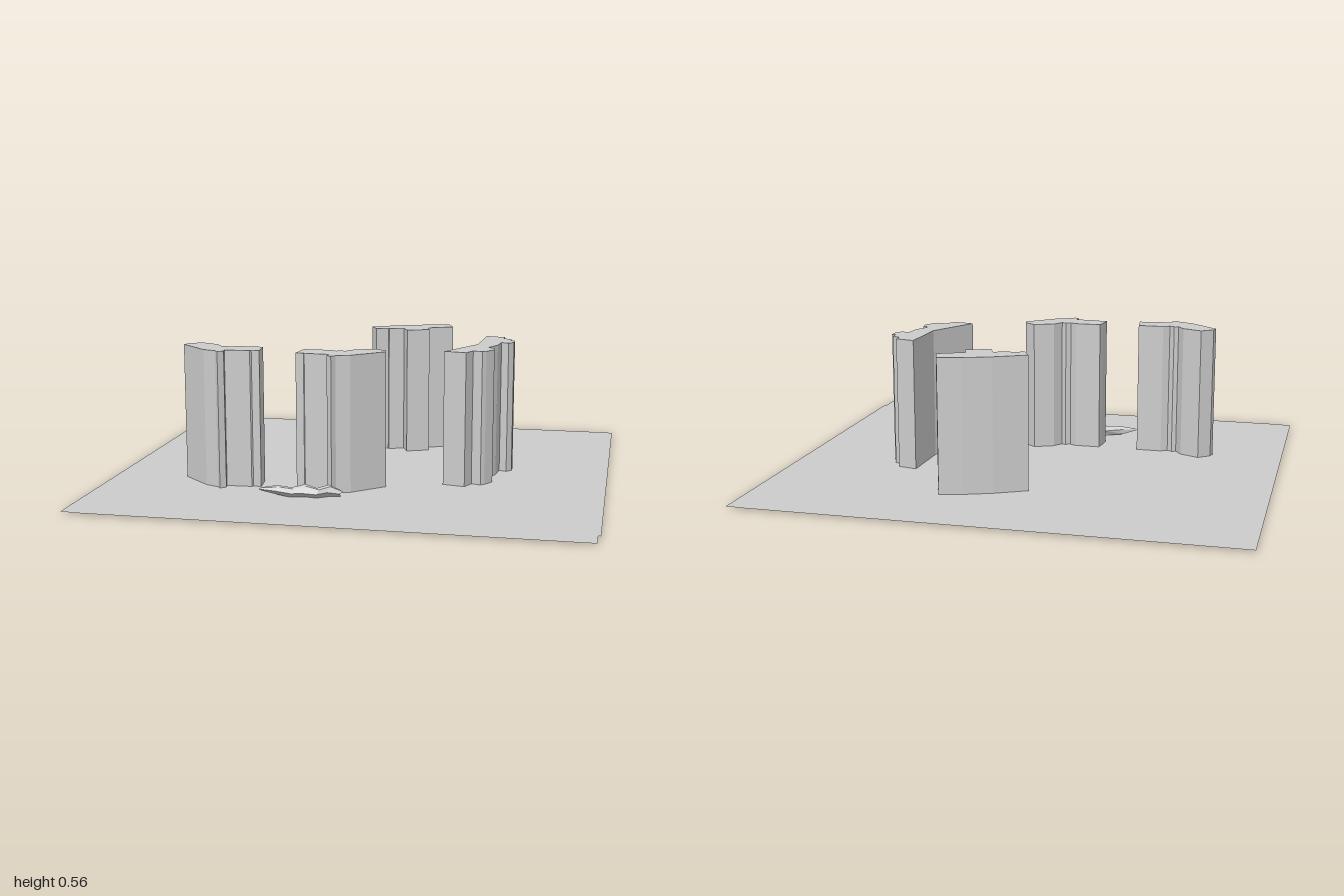
import * as THREE from 'three';

const GROUND = 0.007;
const grey = new THREE.MeshStandardMaterial({ color: 0xcccccc, flatShading: true, side: THREE.DoubleSide });

// Plan outline from [x, z] pairs
function planShape(points) {
  return new THREE.Shape(points.map(([x, z]) => new THREE.Vector2(x, -z)));
}

function addMesh(group, name, geometry) {
  const mesh = new THREE.Mesh(geometry, grey);
  mesh.name = name;
  group.add(mesh);
  return mesh;
}

// Upright prism standing on the ground
function addTower(group, name, points, top) {
  const geo = new THREE.ExtrudeGeometry(planShape(points), { depth: top - GROUND, bevelEnabled: false });
  geo.rotateX(-Math.PI / 2);
  geo.translate(0, GROUND, 0);
  addMesh(group, name, geo);
}

// Low faceted form lofted through rings [x, zBack, zFront, yBottom, yTop, ridge]
function loftGeometry(rings) {
  const pos = [], index = [], n = 6;
  for (const [x, zb, zf, y0, y1, ridge] of rings) {
    const ym = (y0 + y1) / 2, zr = zb + (zf - zb) * ridge;
    pos.push(x, ym, zf, x + 0.01, y1 - 0.004, (zf + zr) / 2, x, y1, zr,
      x, ym + 0.006, zb, x - 0.01, y0 + 0.004, (zb + zr) / 2, x, y0, zr);
  }
  for (let i = 0; i < rings.length - 1; i++) {
    for (let j = 0; j < n; j++) {
      const a = i * n + j, b = i * n + (j + 1) % n;
      index.push(a, a + n, b, b, a + n, b + n);
    }
  }
  // End caps
  const last = (rings.length - 1) * n;
  for (let j = 1; j < n - 1; j++) {
    index.push(0, j, j + 1, last, last + j + 1, last + j);
  }
  const geo = new THREE.BufferGeometry();
  geo.setAttribute('position', new THREE.Float32BufferAttribute(pos, 3));
  geo.setIndex(index);
  const flat = geo.toNonIndexed();
  flat.computeVertexNormals();
  return flat;
}

export function createModel() {
  const group = new THREE.Group();
  group.name = 'towerSite';

  // Thin site sheet
  const ground = new THREE.ShapeGeometry(planShape([
    [-1, -0.9], [0.93, -0.9], [1, -0.895], [1, 0.81], [0.99, 0.81], [0.99, 0.9], [-0.93, 0.9], [-1, 0.892],
  ]));
  ground.rotateX(-Math.PI / 2);
  ground.translate(0, GROUND, 0);
  addMesh(group, 'ground', ground);

  // Pair of mirrored angled towers at the front
  const angled = [
    [-0.65, 0.228], [-0.57, 0.264], [-0.543, 0.305], [-0.525, 0.299], [-0.505, 0.31], [-0.478, 0.294],
    [-0.372, 0.294], [-0.366, 0.335], [-0.361, 0.39], [-0.393, 0.39], [-0.398, 0.397], [-0.5, 0.402],
    [-0.495, 0.428], [-0.516, 0.446], [-0.53, 0.428], [-0.585, 0.406], [-0.705, 0.294], [-0.698, 0.267],
  ];
  const axis = -0.287;
  addTower(group, 'frontRightTower', angled, 0.56);
  addTower(group, 'frontLeftTower', angled.map(([x, z]) => [2 * axis - x, z]), 0.556);

  // Bent tower on the left side with stepped bays
  addTower(group, 'sideTower', [
    [0.468, -0.235], [0.548, -0.217], [0.548, -0.18], [0.582, -0.163], [0.582, -0.13], [0.6, -0.123],
    [0.6, -0.075], [0.58, -0.052], [0.55, -0.062], [0.542, 0.01], [0.51, 0.08], [0.537, 0.092],
    [0.542, 0.135], [0.515, 0.178], [0.5, 0.192], [0.462, 0.18], [0.44, 0.232], [0.35, 0.212], [0.46, 0],
  ], 0.552);

  // Rear tower with a bowed back and a projecting front bay
  addTower(group, 'rearTower', [
    [-0.066, -0.42], [-0.035, -0.355], [0.015, -0.378], [0.02, -0.368], [0.083, -0.39], [0.107, -0.335],
    [0.2, -0.375], [0.185, -0.425], [0.29, -0.477], [0.262, -0.556], [0.17, -0.53], [0.06, -0.487],
  ], 0.553);

  // Low faceted sculpture in front
  addMesh(group, 'groundSculpture', loftGeometry([
    [-0.322, 0.526, 0.534, 0.03, 0.04, 0.5],
    [-0.26, 0.502, 0.536, 0.012, 0.05, 0.35],
    [-0.2, 0.49, 0.54, 0.004, 0.046, 0.6],
    [-0.15, 0.482, 0.538, 0, 0.056, 0.3],
    [-0.1, 0.472, 0.534, 0.003, 0.046, 0.65],
    [-0.06, 0.47, 0.515, 0.006, 0.055, 0.35],
    [-0.012, 0.472, 0.5, 0.01, 0.036, 0.5],
  ]));

  return group;
}
